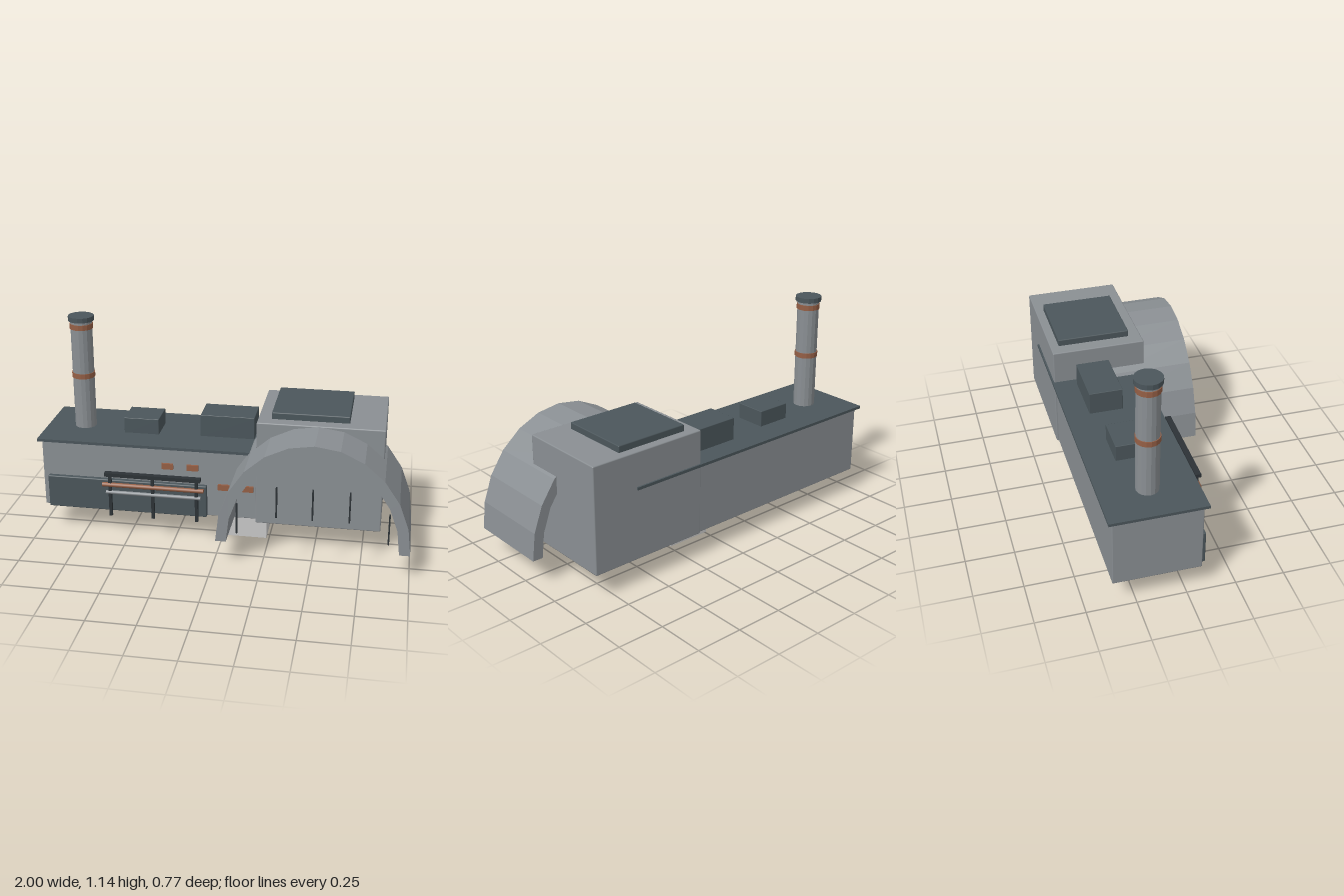
import * as THREE from 'three';
import { RoundedBoxGeometry } from 'three/addons/geometries/RoundedBoxGeometry.js';

const material = (name, color) => {
  const m = new THREE.MeshStandardMaterial({ color });
  m.name = name;
  return m;
};

export function createModel() {
  const model = new THREE.Group();
  model.name = 'factory';
  const wall = material('wall grey', 0x8a8f93);
  const dark = material('dark slate', 0x4b565b);
  const copper = material('copper', 0x955f45);
  const concrete = material('pale concrete', 0xc8c8c8);
  const iron = material('black iron', 0x2c3236);

  const add = (name, geometry, mat) => {
    const mesh = new THREE.Mesh(geometry, mat);
    mesh.name = name;
    model.add(mesh);
    return mesh;
  };
  // Box given by its extents; an optional bevel softens its edges
  const box = (name, mat, [x0, x1], [y0, y1], [z0, z1], bevel = 0) => {
    const size = [x1 - x0, y1 - y0, z1 - z0];
    const geo = bevel
      ? new RoundedBoxGeometry(...size, 1, bevel)
      : new THREE.BoxGeometry(...size);
    return add(name, geo.translate((x0 + x1) / 2, (y0 + y1) / 2, (z0 + z1) / 2), mat);
  };
  // Faceted upright cylinder
  const drum = (name, mat, r, y0, y1, x, z, sides = 16) => {
    const geo = new THREE.CylinderGeometry(r, r, y1 - y0, sides).toNonIndexed();
    geo.computeVertexNormals();
    return add(name, geo.translate(x, (y0 + y1) / 2, z), mat);
  };

  // Long hall with overhanging roof and dark lower cladding
  box('hall', wall, [-0.98, 0.57], [0.13, 0.508], [-0.365, 0.08], 0.005);
  box('hallRoof', dark, [-1, 0.59], [0.505, 0.52], [-0.385, 0.1]);
  box('lowerCladding', dark, [-0.95, -0.08], [0.13, 0.31], [0.06, 0.105], 0.005);
  box('roofUnitSmall', dark, [-0.56, -0.37], [0.515, 0.605], [-0.235, -0.066], 0.003);
  box('roofUnitLarge', dark, [-0.145, 0.147], [0.515, 0.64], [-0.262, -0.085], 0.003);

  // Tall block with roof slab, and the plinth underneath
  box('tallBlock', wall, [0.185, 0.842], [0.13, 0.7], [-0.376, 0.122], 0.006);
  box('blockRoofSlab', dark, [0.255, 0.657], [0.695, 0.735], [-0.33, 0.055], 0.005);
  box('plinth', concrete, [-0.01, 0.235], [0, 0.132], [-0.205, 0.04]);

  // Chimney
  const cx = -0.797, cz = -0.144;
  drum('chimneyShaft', wall, 0.058, 0.51, 1.12, cx, cz);
  drum('chimneyCap', dark, 0.069, 1.117, 1.143, cx, cz);
  for (const y of [0.803, 1.074]) drum('chimneyBand', copper, 0.062, y, y + 0.028, cx, cz);

  // Arched entrance vault: twelve flat facets
  const arch = new THREE.Shape();
  const steps = 12;
  const point = (rx, ry, i) => {
    const a = (i / steps) * Math.PI;
    return new THREE.Vector2(0.506 + rx * Math.cos(a), 0.14 + ry * Math.sin(a));
  };
  const outline = [];
  for (let i = 0; i <= steps; i++) outline.push(point(0.492, 0.558, i));
  for (let i = steps; i >= 0; i--) outline.push(point(0.437, 0.503, i));
  arch.setFromPoints(outline);
  add('archVault', new THREE.ExtrudeGeometry(arch, { depth: 0.452, bevelEnabled: false })
    .translate(0, 0, -0.077), wall);

  // Slim mullions at the mouth of the vault
  for (const [x, y] of [[0.125, 0.197], [0.325, 0.3], [0.506, 0.3], [0.69, 0.3], [0.887, 0.197]]) {
    box('mullion', iron, [x - 0.004, x + 0.004], [y, y + 0.166], [0.372, 0.383]);
  }

  // Pipe rack
  for (const x of [-0.585, -0.355, -0.12]) {
    box('rackPost', iron, [x - 0.008, x + 0.008], [0.138, 0.375], [0.167, 0.183]);
  }
  box('rackRail', iron, [-0.612, -0.098], [0.368, 0.388], [0.16, 0.19]);
  const pipe = (name, mat, y, x0, x1, r) => {
    const geo = new THREE.CylinderGeometry(r, r, x1 - x0, 10);
    add(name, geo.rotateZ(Math.PI / 2).translate((x0 + x1) / 2, y, 0.178), mat);
  };
  pipe('copperPipe', copper, 0.318, -0.625, -0.082, 0.012);
  pipe('greyPipe', wall, 0.275, -0.607, -0.098, 0.01);

  // Small copper vents on the hall wall
  for (const [x, y] of [[-0.293, 0.405], [-0.158, 0.405], [0.01, 0.304], [0.137, 0.304]]) {
    box('wallVent', copper, [x - 0.031, x + 0.031], [y - 0.016, y + 0.016], [0.075, 0.092]);
  }
  return model;
}
